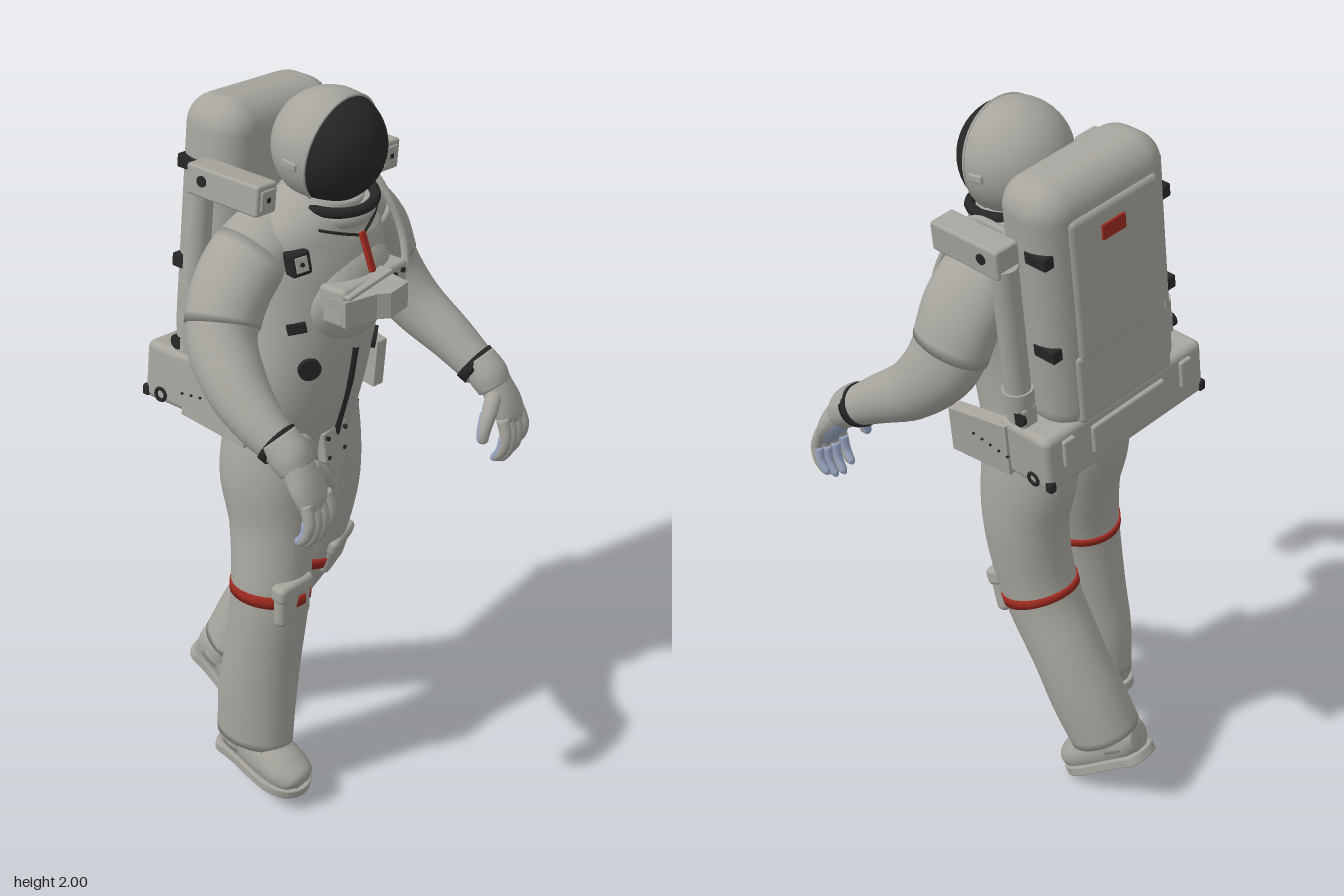
import * as THREE from 'three';
import { RoundedBoxGeometry } from 'three/addons/geometries/RoundedBoxGeometry.js';

const V = (x, y, z) => new THREE.Vector3(x, y, z);
const paint = (name, color) => Object.assign(new THREE.MeshStandardMaterial({ color }), { name });
const suit = paint('suitGrey', 0xa6a49d), dark = paint('blackTrim', 0x262626);
const red = paint('redTrim', 0x9c2a20), blue = paint('palmBlue', 0x9aa6c2);

function add(parent, name, geometry, material, p = [0, 0, 0], r = [0, 0, 0]) {
  const m = new THREE.Mesh(geometry, material);
  m.name = name;
  m.position.set(...p);
  m.rotation.set(...r);
  parent.add(m);
  return m;
}
const rbox = (w, h, d, r = 0.015) => new RoundedBoxGeometry(w, h, d, 3, r);
const disc = (r, h = 0.01) => new THREE.CylinderGeometry(r, r, h, 20).rotateX(Math.PI / 2);
const tube = (pts, r) => new THREE.TubeGeometry(new THREE.CatmullRomCurve3(pts), 30, r, 8);

// Skin over elliptical sections [x, y, z, radiusA, radiusB]; t0..t1 cuts out a band.
function loft(rows, { t0 = 0, t1 = 1, grow = 0, n = 28 } = {}) {
  const path = new THREE.CatmullRomCurve3(rows.map(r => V(r[0], r[1], r[2])));
  const radii = new THREE.CatmullRomCurve3(rows.map(r => V(r[3], r[4] ?? r[3], 0)));
  const steps = Math.max(2, Math.ceil((rows.length - 1) * 6 * (t1 - t0))), pos = [], idx = [], ref = V(1, 0, 0);
  for (let i = 0; i <= steps; i++) {
    const t = t0 + (t1 - t0) * i / steps, c = path.getPoint(t), s = radii.getPoint(t), d = path.getTangent(t);
    const a = ref.clone().addScaledVector(d, -ref.dot(d)).normalize(), b = d.clone().cross(a);
    for (let j = 0; j < n; j++) {
      const w = j / n * Math.PI * 2;
      const p = c.clone().addScaledVector(a, Math.cos(w) * (s.x + grow)).addScaledVector(b, Math.sin(w) * (s.y + grow));
      pos.push(p.x, p.y, p.z);
    }
  }
  const ends = [path.getPoint(t0), path.getPoint(t1)], base = (steps + 1) * n;
  ends.forEach(e => pos.push(e.x, e.y, e.z));
  for (let j = 0; j < n; j++) {
    const k = (j + 1) % n, top = steps * n;
    for (let i = 0; i < steps; i++) {
      const o = i * n, q = o + n;
      idx.push(o + j, o + k, q + k, o + j, q + k, q + j);
    }
    idx.push(base, k, j, base + 1, top + j, top + k);
  }
  const g = new THREE.BufferGeometry();
  g.setAttribute('position', new THREE.Float32BufferAttribute(pos, 3));
  g.setIndex(idx);
  g.computeVertexNormals();
  return g;
}

const TORSO = [[0, .98, -.045, .13, .09], [.005, 1.03, -.045, .19, .13], [.012, 1.12, -.042, .213, .145], [.015, 1.25, -.018, .21, .153],
  [.03, 1.4, .002, .203, .154], [.05, 1.55, .005, .21, .15], [.06, 1.65, 0, .205, .13], [.07, 1.71, .01, .15, .11], [.075, 1.75, .02, .1, .09]];

// Front surface of the torso, used to seat the fittings.
function chest(x, y, lift = 0) {
  const i = Math.max(1, TORSO.findIndex(r => r[1] >= y)), a = TORSO[i - 1], b = TORSO[i];
  const [cx, , cz, rx, rz] = a.map((v, k) => THREE.MathUtils.lerp(v, b[k], (y - a[1]) / (b[1] - a[1])));
  return V(x, y, cz + rz * Math.sqrt(Math.max(0.02, 1 - ((x - cx) / rx) ** 2)) + lift);
}
function seat(g, name, geometry, material, x, y, spin = 0) {
  const m = add(g, name, geometry.rotateZ(spin), material), p = chest(x, y), e = 0.02;
  const nx = (chest(x - e, y).z - chest(x + e, y).z) / (2 * e), ny = (chest(x, y - e).z - chest(x, y + e).z) / (2 * e);
  m.position.copy(p);
  m.lookAt(p.clone().add(V(nx, ny, 1)));
}

function makeHand(g, s, p) {
  const hand = new THREE.Group();
  hand.name = s > 0 ? 'leftGlove' : 'rightGlove';
  hand.position.set(...p);
  g.add(hand);
  const skin = (name, rows) => {
    const side = rows.map(([x, ...r]) => [x * s, ...r]);
    add(hand, name, loft(side, { n: 14 }), suit);
    const inner = side.slice(1).map(([x, y, z, a, b = a]) => [x, y - .002, z - .006, a * .9, b * .93]);
    add(hand, name + 'Pad', loft(inner, { n: 14 }), blue);
  };
  add(hand, 'cuff', loft([[0, .03, -.03, .052, .048], [0, -.005, .005, .056, .052], [0, -.035, .028, .052, .044]], { n: 20 }), suit);
  skin('palm', [[0, .0, 0, .05, .046], [.002, -.03, .03, .05, .04], [.005, -.075, .062, .056, .032], [.004, -.11, .08, .053, .025], [0, -.13, .084, .035, .014]]);
  [-.04, -.013, .014, .04].forEach((x, i) => {
    const k = [.93, 1.05, 1, .85][i];
    skin('finger', [[x, -.1, .08, .017], [x * 1.1, -.1 - .055 * k, .096, .0155], [x * 1.15, -.1 - .1 * k, .088, .0145],
      [x * 1.1, -.1 - .13 * k, .068, .012], [x * 1.1, -.1 - .138 * k, .06, .004]]);
  });
  skin('thumb', [[-.025, -.04, .045, .024], [-.07, -.08, .056, .021], [-.092, -.118, .058, .017], [-.096, -.148, .058, .013], [-.096, -.156, .058, .004]]);
}

function makeBoot(g, name, p, pitch, yaw) {
  const boot = new THREE.Group();
  boot.name = name;
  boot.position.set(...p);
  boot.rotation.set(pitch, yaw, 0, 'YXZ');
  g.add(boot);
  const outline = new THREE.Shape();
  outline.moveTo(-.052, .03);
  outline.bezierCurveTo(-.052, -.01, .052, -.01, .052, .03);
  outline.bezierCurveTo(.052, .12, .073, .15, .07, .22);
  outline.bezierCurveTo(.063, .32, -.063, .32, -.07, .22);
  outline.bezierCurveTo(-.073, .15, -.052, .12, -.052, .03);
  const sole = new THREE.ExtrudeGeometry(outline, { depth: .02, bevelEnabled: true, bevelSize: .004, bevelThickness: .004, bevelSegments: 2, curveSegments: 16 });
  add(boot, 'sole', sole.rotateX(Math.PI / 2), suit, [0, .024, 0]);
  add(boot, 'upper', loft([[0, .06, .0, .035, .04], [0, .068, .025, .052, .062], [0, .07, .1, .06, .075], [0, .058, .17, .068, .066],
    [0, .048, .23, .067, .055], [0, .04, .272, .052, .04], [0, .032, .288, .022, .014]]), suit);
  add(boot, 'ankle', loft([[0, .05, .075, .06, .073], [0, .11, .075, .063, .073], [0, .17, .07, .063, .073]]), suit);
}

function makePack(g) {
  const pack = new THREE.Group();
  pack.name = 'backpack';
  pack.position.set(.01, 1.2, 0);
  pack.rotation.set(0, -.06, -.115, 'YXZ');
  g.add(pack);
  add(pack, 'packBody', new RoundedBoxGeometry(.425, .7, .2, 6, .08), suit, [0, .4, -.213]);
  add(pack, 'packBackPanel', rbox(.3, .4, .04, .019), suit, [0, .47, -.303]);
  add(pack, 'packLowerPanel', rbox(.32, .2, .03, .014), suit, [0, .19, -.304]);
  add(pack, 'redPatch', rbox(.078, .042, .008, .003), red, [.015, .6, -.325]);
  add(pack, 'packBase', rbox(.56, .16, .175, .02), suit, [0, .02, -.222]);
  add(pack, 'basePanel', rbox(.26, .085, .02, .008), suit, [0, .025, -.31]);
  for (const s of [-1, 1]) {
    const wing = new THREE.Shape([[.17, -.06], [.17, .09], [-.04, .05], [-.04, -.08]].map(q => new THREE.Vector2(...q)));
    add(pack, 'baseWing', new THREE.ExtrudeGeometry(wing, { depth: .04, bevelEnabled: false }).rotateY(Math.PI / 2), suit, [s * .268 - .02, 0, 0]);
    add(pack, 'baseRing', new THREE.TorusGeometry(.016, .005, 8, 20).rotateY(Math.PI / 2), dark, [s * .281, -.035, -.25]);
    for (let i = 0; i < 5; i++) add(pack, 'wingStud', disc(.0035, .006).rotateY(Math.PI / 2), dark, [s * .289, .015 - i * .004, -.05 - i * .03]);
    add(pack, 'baseClamp', rbox(.05, .09, .06, .01), suit, [s * .245, .11, -.195]);
    add(pack, 'clampKnob', disc(.02, .012).rotateY(Math.PI / 2), dark, [s * .27, .125, -.21]);
    add(pack, 'backLatch', rbox(.04, .08, .02, .006), suit, [s * .21, .04, -.31]);
    add(pack, 'cornerFoot', rbox(.022, .03, .022, .006), dark, [s * .272, -.04, -.302]);
    add(pack, 'sidePole', new THREE.CylinderGeometry(.034, .034, .44, 20), suit, [s * .245, .33, -.185]);
    add(pack, 'poleCollar', new THREE.CylinderGeometry(.04, .04, .05, 20), suit, [s * .245, .17, -.185]);
    add(pack, 'thrusterArm', rbox(.075, .08, .23, .008), suit, [s * .245, .57, -.088]);
    add(pack, 'thrusterFace', rbox(.05, .052, .008, .003), suit, [s * .245, .57, .028]);
    add(pack, 'thrusterPort', rbox(.014, .014, .008, .003), dark, [s * .245, .57, .03]);
    add(pack, 'thrusterStud', disc(.014, .008).rotateY(Math.PI / 2), dark, [s * .283, .575, -.15]);
    for (const y of [.31, .575]) add(pack, 'packClip', rbox(.034, .036, .07, .005), dark, [s * .198, y, -.258]);
  }
}

export function createModel() {
  const g = new THREE.Group();
  g.name = 'astronaut';
  add(g, 'torso', loft(TORSO, { n: 40 }), suit);

  // Helmet: shell and visor share one tilted axis
  const helmet = new THREE.Group();
  helmet.name = 'helmet';
  helmet.position.set(.077, 1.853, .025);
  helmet.rotation.set(.13, -.05, 0);
  g.add(helmet);
  const cap = (r, a, b) => new THREE.SphereGeometry(r, 40, 24, 0, Math.PI * 2, a, b).rotateX(Math.PI / 2);
  add(helmet, 'helmetShell', cap(.146, 1.33, Math.PI - 1.33), suit);
  add(helmet, 'visor', cap(.144, 0, 1.36), dark);
  add(helmet, 'visorRim', new THREE.TorusGeometry(.142, .004, 8, 48), suit, [0, 0, .033]);
  for (const s of [-1, 1]) add(helmet, 'visorHinge', rbox(.012, .022, .045, .005), suit, [s * .145, -.01, -.01]);
  add(g, 'neckRing', new THREE.TorusGeometry(.112, .014, 10, 36).rotateX(Math.PI / 2 + .1), dark, [.075, 1.728, .03]);
  add(g, 'collar', new THREE.TorusGeometry(.105, .024, 10, 36).rotateX(Math.PI / 2 + .1), suit, [.073, 1.7, .015]);

  // Arms with wrist bands and gloves
  const leftArm = [[.12, 1.66, -.02, .075, .08], [.225, 1.63, -.022, .08, .1], [.31, 1.54, -.015, .08, .108], [.357, 1.41, .005, .079, .1],
    [.381, 1.305, .085, .072, .08], [.39, 1.225, .205, .061, .064], [.39, 1.16, .303, .052, .05]];
  const rightArm = [[.0, 1.66, -.04, .075, .08], [-.12, 1.635, -.05, .08, .1], [-.215, 1.555, -.06, .087, .1], [-.287, 1.45, -.04, .087, .092],
    [-.338, 1.37, .04, .08, .08], [-.366, 1.31, .13, .065, .065], [-.373, 1.262, .212, .052, .05]];
  for (const [side, rows, wrist, s] of [['left', leftArm, [.39, 1.16, .315], 1], ['right', rightArm, [-.38, 1.265, .23], -1]]) {
    add(g, side + 'Arm', loft(rows), suit);
    add(g, side + 'ShoulderSleeve', loft(rows, { t0: .2, t1: .46, grow: .004 }), suit);
    add(g, side + 'WristBand', loft(rows, { t0: .95, t1: .99, grow: .005 }), dark);
    makeHand(g, s, wrist);
  }

  // Legs with red bands at the knees
  const leftLeg = [[.1, 1.12, -.045, .11, .125], [.113, .99, -.05, .115, .135], [.125, .84, -.047, .108, .12], [.11, .625, -.085, .102, .104],
    [.1, .45, -.175, .097, .1], [.085, .32, -.235, .098, .106], [.067, .21, -.285, .097, .102]];
  const rightLeg = [[-.085, 1.12, -.04, .11, .125], [-.115, .99, -.035, .114, .13], [-.13, .84, -.01, .106, .115], [-.163, .66, .01, .102, .108],
    [-.18, .45, -.005, .097, .108], [-.19, .3, -.02, .09, .115], [-.195, .17, -.025, .085, .114]];
  for (const [side, rows] of [['left', leftLeg], ['right', rightLeg]]) {
    add(g, side + 'Leg', loft(rows), suit);
    add(g, side + 'KneeBand', loft(rows, { t0: .488, t1: .512, grow: .004 }), red);
  }
  for (const [side, p, r] of [['left', [.14, .615, .002], [.3, .2, 0]], ['right', [-.188, .665, .098], [.03, -.1, 0]]]) {
    const pouch = add(g, side + 'KneePouch', rbox(.12, .13, .04, .018), suit, p, r);
    add(pouch, side + 'KneeFlap', rbox(.128, .05, .048, .015), suit, [0, .04, .001]);
  }
  makeBoot(g, 'leftBoot', [.032, .165, -.412], .58, .08);
  makeBoot(g, 'rightBoot', [-.198, .1, -.135], .18, -.06);
  makePack(g);

  // Chest unit
  const shell = new THREE.SphereGeometry(1, 32, 20).scale(.165, .135, .085);
  add(g, 'chestShell', shell, suit, [.05, 1.485, .102]);
  add(g, 'controlBox', rbox(.28, .1, .08, .012), suit, [.04, 1.505, .155], [0, 0, -.08]);
  const hood = new THREE.Shape([[-.1, .15], [.1, .15], [.1, .2], [.085, .26], [.01, .26], [-.015, .235], [-.1, .2]].map(q => new THREE.Vector2(...q)));
  add(g, 'controlHood', new THREE.ExtrudeGeometry(hood, { depth: .07, bevelEnabled: false }).rotateX(Math.PI / 2), suit, [0, 1.54, 0]);
  add(g, 'hoodTop', rbox(.19, .012, .05, .005), suit, [0, 1.55, .185]);
  for (const [x, y] of [[.12, 1.525], [.155, 1.525], [.12, 1.485], [.155, 1.475]]) add(g, 'controlKnob', disc(.007, .012), dark, [x, y, .195]);

  // Front fittings
  const line = (x0, y0, x1, y1, lift) => Array.from({ length: 9 }, (_, i) => chest(x0 + (x1 - x0) * i / 8, y0 + (y1 - y0) * i / 8, lift));
  add(g, 'zip', tube(line(.01, 1.08, .015, 1.355, 0), .012), dark);
  add(g, 'neckCord', tube([...line(-.06, 1.69, .055, 1.645, .004), ...line(.07, 1.645, .19, 1.69, .004)], .004), dark);
  add(g, 'redTag', rbox(.02, .105, .012, .004), red, [.047, 1.61, .162], [-.42, 0, -.1]);
  for (const [x, y] of [[-.12, 1.335], [.155, 1.305]]) seat(g, 'hosePort', disc(.03, .025), dark, x, y);
  const patch = add(g, 'patchFrame', rbox(.056, .062, .05, .008), dark, [-.125, 1.625, .072], [-.2, -.45, 0]);
  add(patch, 'patchFace', rbox(.034, .04, .006, .002), suit, [0, 0, .025]);
  add(patch, 'patchStud', disc(.006, .006), dark, [0, 0, .028]);
  seat(g, 'hipClip', rbox(.04, .05, .02, .006), dark, .155, 1.07, .5);
  seat(g, 'waistStrap', rbox(.05, .03, .012, .004), dark, -.14, 1.45, .2);

  // Lower flap with corner studs
  const flap = new THREE.Shape([[-.05, .06], [.045, .06], [.04, -.02], [.015, -.07], [-.015, -.07], [-.045, -.02]].map(q => new THREE.Vector2(...q)));
  add(g, 'lowerFlap', new THREE.ExtrudeGeometry(flap, { depth: .02, bevelSize: .004, bevelThickness: .004 }), suit, [0, 1.04, .084], [-.08, 0, 0]);
  for (const [x, y] of [[-.04, 1.09], [.036, 1.09], [-.036, 1.03], [.032, 1.03]]) add(g, 'flapStud', disc(.006), dark, [x, y, .107]);

  // Air hose over the left shoulder
  add(g, 'airHose', tube([V(.23, 1.74, -.08), V(.235, 1.74, .02), V(.25, 1.66, .085), V(.26, 1.56, .125), V(.235, 1.49, .15), V(.17, 1.485, .165)], .011), suit);
  return g;
}
